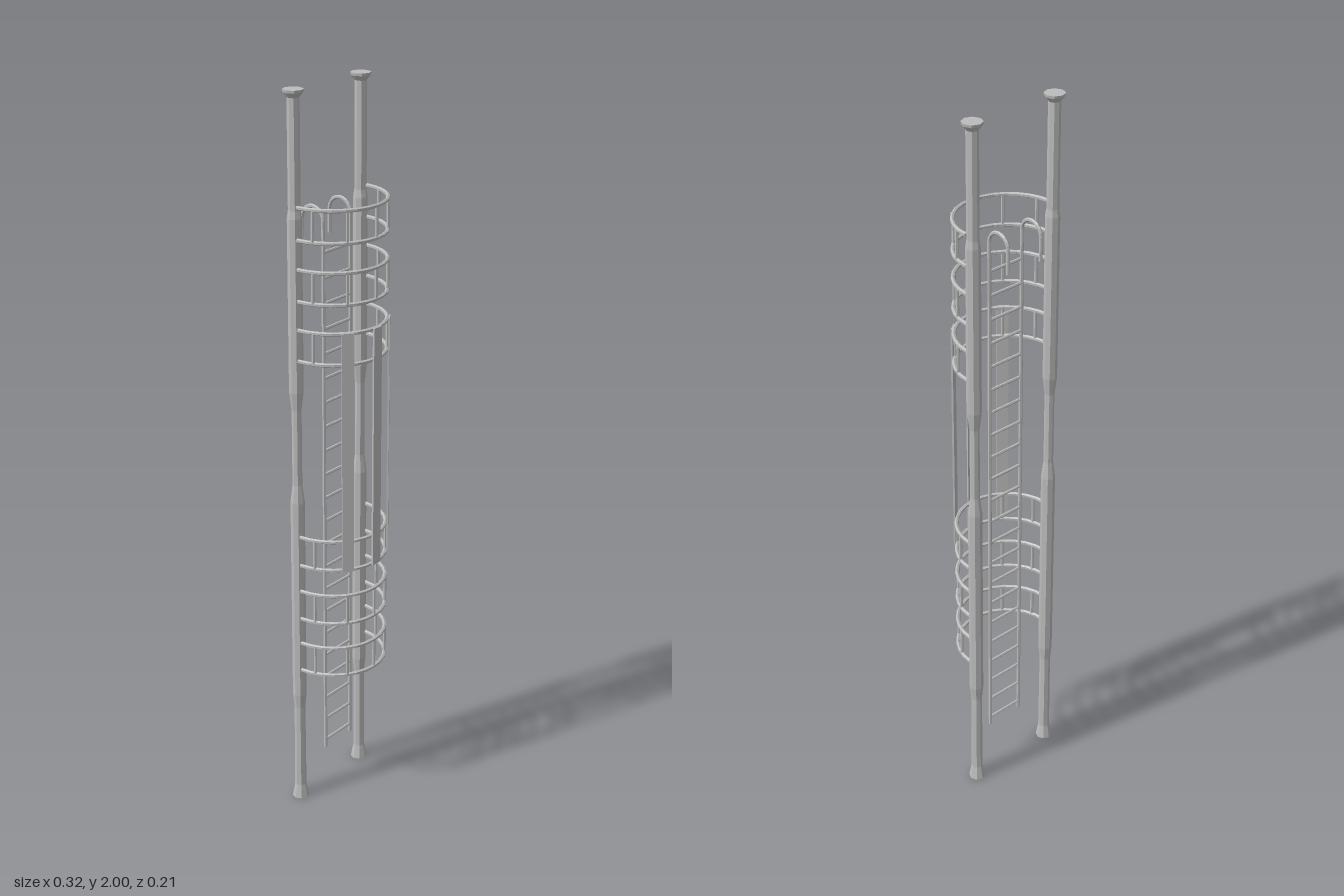
import * as THREE from 'three';

export function createModel() {
  const root = new THREE.Group();
  root.name = 'cagedLadder';
  const steel = new THREE.MeshStandardMaterial({ color: 0xbcbcbc, flatShading: true });
  steel.name = 'lightGreySteel';

  function add(name, geometry, parent = root) {
    const mesh = new THREE.Mesh(geometry, steel);
    mesh.name = name;
    parent.add(mesh);
    return mesh;
  }
  function group(name) {
    const g = new THREE.Group();
    g.name = name;
    root.add(g);
    return g;
  }

  // Octagonal posts with flared feet, thin caps and a slim waist
  const profile = [
    [0, 0], [0.023, 0], [0.021, 0.012], [0.016, 0.04], [0.015, 0.29], [0.019, 0.33],
    [0.019, 0.91], [0.013, 0.96], [0.013, 1.17], [0.019, 1.22], [0.019, 1.68],
    [0.016, 1.70], [0.016, 1.98], [0.026, 1.993], [0.027, 2], [0, 2],
  ].map(([r, y]) => new THREE.Vector2(r, y));
  const postGeometry = new THREE.LatheGeometry(profile, 8);
  for (const side of [-1, 1]) {
    add(side > 0 ? 'leftPost' : 'rightPost', postGeometry).position.set(side * 0.132, 0, -0.059);
  }

  // Curved guard rails: pairs of half hoops joined by short uprights
  const radius = 0.14, centreZ = -0.044, angles = [-72, -36, 0, 36, 72];
  const onHoop = (deg, y, r = radius) => {
    const a = THREE.MathUtils.degToRad(deg);
    return new THREE.Vector3(r * Math.sin(a), y, centreZ + r * Math.cos(a));
  };
  const hoopPoints = [];
  for (let i = 0; i <= 12; i++) hoopPoints.push(onHoop(-90 + i * 15, 0));
  const hoopPath = new THREE.CatmullRomCurve3(hoopPoints);
  const hoopGeometry = new THREE.TubeGeometry(hoopPath, 14, 0.0055, 6);
  const uprightGeometry = new THREE.CylinderGeometry(0.0045, 0.0045, 0.083, 6);
  for (const y of [0.412, 0.57, 0.73, 1.309, 1.468, 1.627]) {
    const guard = group('guardRail');
    add('lowerHoop', hoopGeometry, guard).position.y = y;
    add('upperHoop', hoopGeometry, guard).position.y = y + 0.083;
    for (const deg of angles) {
      add('guardUpright', uprightGeometry, guard).position.copy(onHoop(deg, y + 0.0415));
    }
  }

  // Long flat slats between the middle guard rails
  const slatGeometry = new THREE.BoxGeometry(0.032, 0.667, 0.005);
  for (const deg of [-36, 0, 36]) {
    const slat = add('cageSlat', slatGeometry);
    slat.position.copy(onHoop(deg, 1.061, 0.145));
    slat.rotation.y = THREE.MathUtils.degToRad(deg);
  }

  // Ladder rails, each hooked over backwards at the top
  const ladder = group('ladder');
  const bend = 0.034, frontZ = -0.031, bendY = 1.66, railRadius = 0.005;
  const straight = new THREE.CylinderGeometry(railRadius, railRadius, bendY - 0.13, 6);
  const tip = new THREE.CylinderGeometry(railRadius, railRadius, bendY - 1.595, 6);
  const hook = new THREE.TorusGeometry(bend, railRadius, 6, 10, Math.PI);
  for (const side of [-1, 1]) {
    const x = side * 0.0545;
    add('ladderRail', straight, ladder).position.set(x, (bendY + 0.13) / 2, frontZ);
    add('hookTip', tip, ladder).position.set(x, (bendY + 1.595) / 2, frontZ - 2 * bend);
    const top = add('ladderHook', hook, ladder);
    top.position.set(x, bendY, frontZ - bend);
    top.rotation.y = Math.PI / 2;
  }

  // Rungs
  const rungGeometry = new THREE.CylinderGeometry(0.004, 0.004, 0.109, 6).rotateZ(Math.PI / 2);
  for (let i = 0; i < 22; i++) {
    add('rung', rungGeometry, ladder).position.set(0, 0.155 + i * 0.0678, frontZ);
  }

  return root;
}
